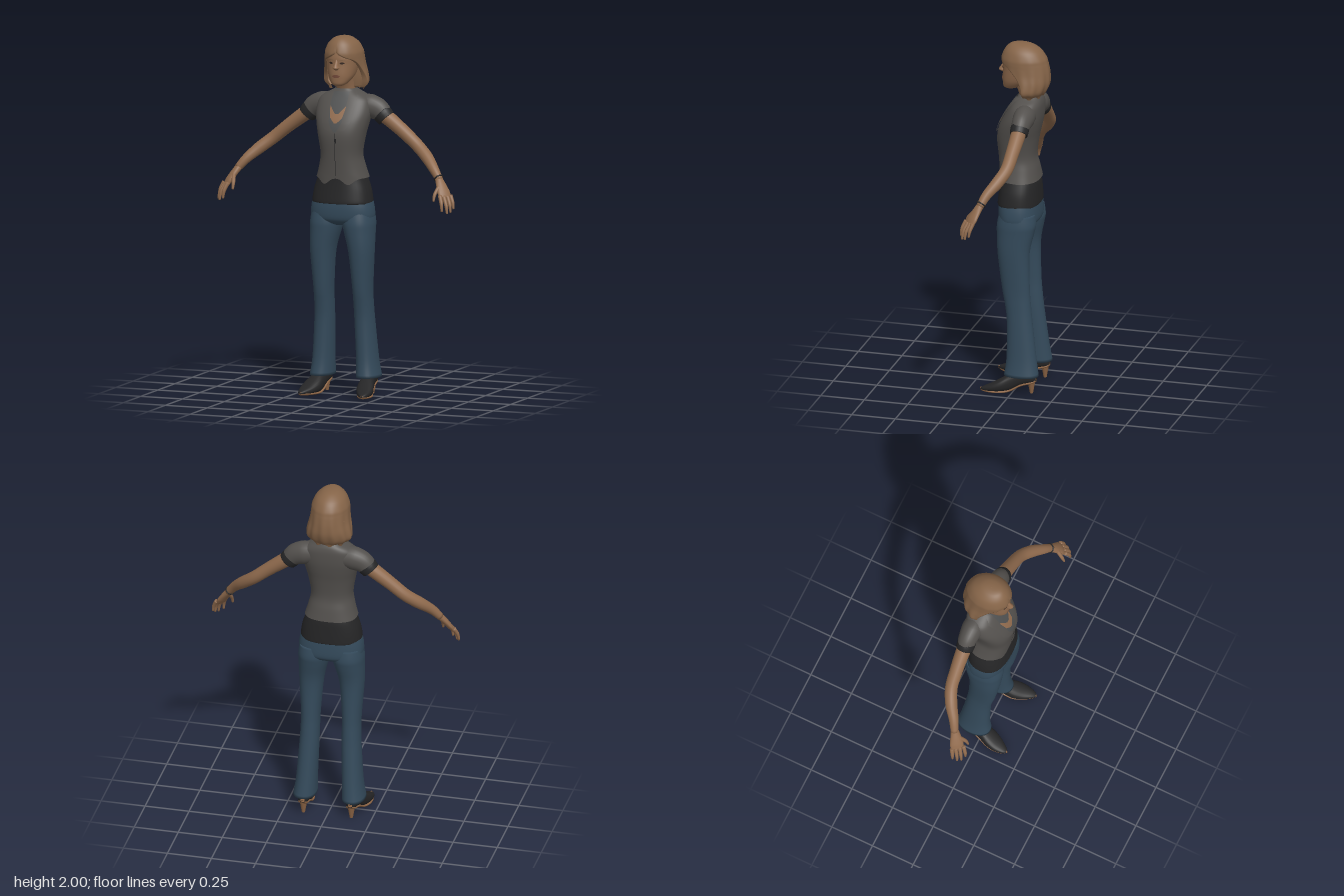
import * as THREE from 'three';

const paint = (name, color) => new THREE.MeshStandardMaterial({ name, color, side: THREE.DoubleSide });
const lerp = THREE.MathUtils.lerp;
const V = (x, y, z) => new THREE.Vector3(x, y, z);

// Smooth grid of rows i and columns j; columns may wrap round
function grid(rows, cols, fn, wrap = true) {
  const pos = [], idx = [], n = wrap ? cols : cols + 1;
  for (let i = 0; i < rows; i++) for (let j = 0; j < n; j++) pos.push(...fn(i, j / cols));
  for (let i = 0; i < rows - 1; i++) for (let j = 0; j < cols; j++) {
    const k = (j + 1) % n, a = i * n + j, b = i * n + k;
    idx.push(a, b, a + n, b, b + n, a + n);
  }
  const g = new THREE.BufferGeometry();
  g.setAttribute('position', new THREE.Float32BufferAttribute(pos, 3));
  g.setIndex(idx);
  g.computeVertexNormals();
  return g;
}

// Catmull-Rom refinement of profile rows, sorted upward by their first value
function dense(rows, sub = 4) {
  const r = [...rows].sort((a, b) => a[0] - b[0]), out = [];
  for (let i = 0; i < r.length - 1; i++) for (let s = 0; s < sub; s++) {
    const t = s / sub, p = r[Math.max(i - 1, 0)], q = r[i], u = r[i + 1], w = r[Math.min(i + 2, r.length - 1)];
    out.push(q.map((_, k) => 0.5 * (2 * q[k] + (u[k] - p[k]) * t + (2 * p[k] - 5 * q[k] + 4 * u[k] - w[k]) * t * t
      + (3 * q[k] - p[k] - 3 * u[k] + w[k]) * t * t * t)));
  }
  out.push(r[r.length - 1]);
  return out;
}

// Horizontal superellipse sections: [y, halfWidth, zFront, zBack, xCentre]
const power = (v, n) => Math.sign(v) * Math.abs(v) ** (2 / n);
function loft(rows, n = 2.2, cap = true, cols = 40) {
  const d = dense(rows);
  if (cap) {
    const shut = r => [r[0], 0.0005, (r[2] + r[3]) / 2, (r[2] + r[3]) / 2, r[4]];
    d.unshift(shut(d[0]));
    d.push(shut(d[d.length - 1]));
  }
  return grid(d.length, cols, (i, f) => {
    const [y, w, zf, zb, cx = 0] = d[i], t = f * Math.PI * 2;
    return [cx + w * power(Math.sin(t), n), y, (zf + zb) / 2 + (zf - zb) / 2 * power(Math.cos(t), n)];
  });
}

// Thin plate lying on the front of a lofted body: rows [y, xStart, xEnd]
function patch(body, n, rows, off) {
  const d = dense(body), sub = 4, r = [...rows].sort((a, b) => a[0] - b[0]);
  return grid((r.length - 1) * sub + 1, 8, (i, f) => {
    const k = Math.min(Math.floor(i / sub), r.length - 2), t = i / sub - k;
    const [y, a, b] = r[k].map((v, m) => lerp(v, r[k + 1][m], t)), x = lerp(a, b, f);
    const h = Math.max(0, d.findIndex(e => e[0] > y) - 1), p = d[h], q = d[h + 1];
    const [, w, zf, zb] = p.map((v, m) => lerp(v, q[m], (y - p[0]) / (q[0] - p[0])));
    const z = (zf + zb) / 2 + (zf - zb) / 2 * Math.max(0, 1 - Math.abs(x / w) ** n) ** (1 / n);
    return [x, y, z + off];
  }, false);
}

// Tapered limb through points; each radius is [along ref, across ref]
function limb(pts, radii, ref = V(0, 0, 1), cols = 16) {
  const curve = new THREE.CatmullRomCurve3(pts.map(p => V(...p))), N = pts.length * 4;
  return grid(N + 3, cols, (i, f) => {
    const t = Math.min(Math.max(i - 1, 0), N) / N, s = t * (pts.length - 1), k = Math.min(Math.floor(s), pts.length - 2);
    const end = i === 0 || i === N + 2 ? 0.01 : 1, T = curve.getTangent(t);
    const u = ref.clone().addScaledVector(T, -ref.dot(T)).normalize(), v = T.clone().cross(u);
    const [ru, rv] = [0, 1].map(m => end * lerp([radii[k]].flat().at(m) ?? radii[k], [radii[k + 1]].flat().at(m) ?? radii[k + 1], s - k));
    const a = f * Math.PI * 2;
    return curve.getPoint(t).addScaledVector(u, ru * Math.cos(a)).addScaledVector(v, rv * Math.sin(a)).toArray();
  });
}

function mirrored(geo) {
  const g = geo.clone().scale(-1, 1, 1), ix = g.index.array;
  for (let i = 0; i < ix.length; i += 3) [ix[i], ix[i + 1]] = [ix[i + 1], ix[i]];
  g.computeVertexNormals();
  return g;
}

export function createModel() {
  const skin = paint('skin', 0x8f6a4d), hair = paint('hair', 0x856448), jacket = paint('jacketGrey', 0x53504d);
  const jeans = paint('denim', 0x344a5b), black = paint('black', 0x252526), shirt = paint('shirtGrey', 0x4e4f4f);
  const lip = paint('lips', 0x744a3a), dark = paint('eyeBrown', 0x33261f), sole = paint('soleTan', 0x8a6344);
  const model = new THREE.Group();
  const add = (name, geo, mat) => {
    const m = new THREE.Mesh(geo, mat);
    m.name = name;
    model.add(m);
  };
  const pair = (name, geo, mat) => {
    add(name + 'Left', geo, mat);
    add(name + 'Right', mirrored(geo), mat);
  };

  // Jacket body with a shaped front hem
  const torso = [[1.215, 0.147, 0.104, -0.119], [1.28, 0.128, 0.108, -0.107], [1.35, 0.116, 0.114, -0.093],
    [1.45, 0.132, 0.122, -0.105], [1.52, 0.148, 0.108, -0.12], [1.58, 0.158, 0.08, -0.13], [1.64, 0.15, 0.045, -0.132],
    [1.67, 0.12, 0.024, -0.128], [1.69, 0.08, 0.01, -0.12], [1.705, 0.056, 0.002, -0.11]];
  const body = loft(torso, 2.4, false, 64), bp = body.attributes.position;
  for (let j = 0; j < 64; j++) if (bp.getZ(j) > 0)
    bp.setY(j, 1.217 - 0.035 * Math.exp(-(((Math.abs(bp.getX(j)) - 0.07) / 0.035) ** 2)));
  body.computeVertexNormals();
  add('jacketBody', body, jacket);
  const chest = (name, rows, mat, off) => add(name, patch(torso, 2.4, rows, off), mat);
  chest('shirtFront', [[1.475, -0.004, 0.004], [1.51, -0.035, 0.035], [1.56, -0.048, 0.048], [1.62, -0.05, 0.05], [1.69, -0.05, 0.05]], shirt, 0.003);
  chest('necklineSkin', [[1.525, -0.008, 0.008], [1.555, -0.036, 0.036], [1.615, -0.048, 0.048]], skin, 0.005);
  chest('shirtCollar', [[1.575, -0.01, 0.01], [1.6, -0.032, 0.032], [1.625, -0.05, 0.05], [1.69, -0.05, 0.05]], shirt, 0.007);
  chest('frontSeam', [[1.23, -0.001, 0.002], [1.47, -0.001, 0.002]], black, 0.002);
  chest('button', [[1.415, 0.004, 0.011], [1.44, 0.004, 0.011]], black, 0.004);
  pair('lapel', patch(torso, 2.4, [[1.47, 0.003, 0.012], [1.49, 0.018, 0.06], [1.53, 0.038, 0.083], [1.6, 0.047, 0.088],
    [1.66, 0.048, 0.1], [1.695, 0.046, 0.068]], 0.009), jacket);

  // Short sleeves, cuffs, arms
  pair('sleeve', limb([[0.07, 1.612, -0.06], [0.14, 1.606, -0.062], [0.19, 1.588, -0.062], [0.228, 1.553, -0.06]],
    [[0.058, 0.06], [0.06, 0.068], [0.053, 0.062], [0.047, 0.051]], undefined, 24), jacket);
  pair('sleeveCuff', limb([[0.208, 1.572, -0.06], [0.222, 1.558, -0.06], [0.236, 1.542, -0.06]],
    [[0.051, 0.056], [0.051, 0.055], [0.049, 0.052]], undefined, 24), black);
  pair('arm', limb([[0.19, 1.585, -0.06], [0.26, 1.536, -0.06], [0.35, 1.468, -0.055], [0.43, 1.402, -0.046], [0.5, 1.345, -0.012],
    [0.56, 1.287, 0.033], [0.602, 1.235, 0.058]], [0.043, 0.041, 0.037, 0.035, 0.034, 0.027, 0.021], undefined, 20), skin);

  // Hands
  const across = V(0.63, 0, -0.77);
  pair('palm', limb([[0.595, 1.243, 0.055], [0.62, 1.205, 0.075], [0.64, 1.172, 0.09], [0.655, 1.143, 0.102]],
    [[0.021, 0.02], [0.032, 0.018], [0.039, 0.016], [0.036, 0.012]], across), skin);
  const fingers = {
    thumb: [[0.612, 1.205, 0.09], [0.6, 1.165, 0.125], [0.598, 1.128, 0.14]],
    indexFinger: [[0.632, 1.16, 0.127], [0.648, 1.115, 0.146], [0.652, 1.075, 0.15]],
    middleFinger: [[0.647, 1.155, 0.111], [0.67, 1.108, 0.131], [0.678, 1.063, 0.137]],
    ringFinger: [[0.662, 1.155, 0.093], [0.684, 1.11, 0.113], [0.692, 1.068, 0.118]],
    littleFinger: [[0.674, 1.158, 0.077], [0.692, 1.12, 0.089], [0.699, 1.085, 0.094]],
  };
  for (const [name, pts] of Object.entries(fingers)) pair(name, limb(pts, [0.012, 0.01, 0.006], across, 10), skin);
  add('bracelet', new THREE.TorusGeometry(0.024, 0.004, 8, 24).applyQuaternion(
    new THREE.Quaternion().setFromUnitVectors(V(0, 0, 1), V(0.6, -0.72, 0.36).normalize())).translate(0.592, 1.248, 0.053), black);

  // Undershirt, hips and flared trouser legs
  add('undershirt', loft([[1.075, 0.17, 0.113, -0.12], [1.09, 0.171, 0.113, -0.12], [1.15, 0.161, 0.105, -0.117],
    [1.21, 0.141, 0.098, -0.112], [1.26, 0.122, 0.095, -0.098]], 2.4), black);
  add('hips', loft([[0.95, 0.1, 0.05, -0.08], [0.965, 0.15, 0.083, -0.105], [0.99, 0.179, 0.103, -0.119],
    [1.05, 0.178, 0.107, -0.118], [1.11, 0.164, 0.1, -0.112]], 2.5), jeans);
  pair('trouserLeg', loft([[0.1, 0.065, 0.05, -0.145, 0.138], [0.2, 0.058, 0.038, -0.13, 0.13], [0.4, 0.054, 0.039, -0.105, 0.12],
    [0.5, 0.052, 0.05, -0.095, 0.117], [0.6, 0.053, 0.068, -0.088, 0.116], [0.8, 0.068, 0.093, -0.085, 0.114],
    [0.92, 0.084, 0.101, -0.108, 0.1], [0.97, 0.089, 0.101, -0.117, 0.095], [1.03, 0.086, 0.09, -0.11, 0.09]], 2.2), jeans);

  // Pointed heeled shoes: [z, xCentre, halfWidth, yBottom, yTop]
  const foot = dense([[-0.132, 0.135, 0.012, 0.075, 0.105], [-0.115, 0.136, 0.03, 0.064, 0.12], [-0.05, 0.14, 0.036, 0.045, 0.125],
    [0.01, 0.148, 0.042, 0.012, 0.108], [0.06, 0.158, 0.05, 0.005, 0.08], [0.11, 0.17, 0.042, 0.005, 0.052],
    [0.155, 0.18, 0.022, 0.008, 0.032], [0.175, 0.183, 0.003, 0.014, 0.02]]);
  const shoe = (wide, yRange) => grid(foot.length, 24, (i, f) => {
    const [z, x, w, b, t] = foot[i], a = f * Math.PI * 2, [lo, hi] = yRange(b, t);
    return [x + w * wide * power(Math.cos(a), 2.5), (lo + hi) / 2 + (hi - lo) / 2 * power(Math.sin(a), 2.5), z];
  });
  pair('shoe', shoe(1, (b, t) => [b, t]), black);
  pair('shoeSole', shoe(0.93, b => [b - 0.005, b + 0.012]), sole);
  pair('shoeHeel', new THREE.CylinderGeometry(0.022, 0.009, 0.072, 14).translate(0.136, 0.036, -0.105), sole);

  // Neck and head
  add('neck', loft([[1.62, 0.06, -0.005, -0.11], [1.7, 0.05, 0.0, -0.1], [1.79, 0.05, 0.04, -0.09]]), skin);
  const head = [[1.73, 0.022, 0.082, 0.03], [1.742, 0.044, 0.093, 0], [1.77, 0.064, 0.096, -0.05], [1.8, 0.075, 0.097, -0.09],
    [1.85, 0.083, 0.093, -0.11], [1.89, 0.085, 0.093, -0.12], [1.94, 0.078, 0.078, -0.12], [1.975, 0.05, 0.04, -0.09]];
  add('head', loft(head, 2.2), skin);
  add('nose', loft([[1.82, 0.009, 0.103, 0.07], [1.831, 0.018, 0.121, 0.07], [1.845, 0.013, 0.115, 0.07],
    [1.87, 0.009, 0.098, 0.07], [1.89, 0.007, 0.09, 0.07]], 2, true, 20), skin);
  const face = (rows, off) => patch(head, 2.2, rows, off);
  pair('eye', face([[1.852, 0.03, 0.034], [1.858, 0.019, 0.046], [1.864, 0.026, 0.039]], 0.003), dark);
  pair('eyebrow', face([[1.874, 0.016, 0.05], [1.879, 0.018, 0.048]], 0.003), hair);
  add('lips', face([[1.778, -0.012, 0.012], [1.786, -0.026, 0.026], [1.794, -0.01, 0.01]], 0.004), lip);

  // Bobbed hair shell, open round the face: [y, halfWidth, zFront, zBack, opening in degrees]
  const locks = dense([[1.705, 0.1, 0.04, -0.135, 88], [1.735, 0.128, 0.055, -0.155, 83], [1.78, 0.124, 0.07, -0.17, 78],
    [1.83, 0.113, 0.09, -0.17, 68], [1.87, 0.108, 0.1, -0.164, 50], [1.895, 0.106, 0.104, -0.158, 18], [1.92, 0.102, 0.101, -0.15, 0],
    [1.96, 0.083, 0.084, -0.122, 0], [1.988, 0.052, 0.058, -0.08, 0], [1.998, 0.024, 0.03, -0.045, 0], [2, 0.001, -0.008, -0.012, 0]]);
  add('hair', grid(locks.length, 72, (i, f) => {
    const [y, w, zf, zb, open] = locks[i], low = Math.min(1, Math.max(0, (1.95 - y) / 0.2));
    const edge = Math.max(0, open) * Math.PI / 180, t = edge + f * 2 * (Math.PI - edge);
    const rim = f < 0.01 || f > 0.99 ? 1 - 0.2 * low : 1, k = rim * (1 + 0.025 * low * Math.sin(t * 13));
    return [w * k * Math.sin(t), y + (i === 0 ? 0.01 * Math.sin(t * 9) : 0), (zf + zb) / 2 + (zf - zb) / 2 * k * Math.cos(t)];
  }, false), hair);
  add('hairUnderside', loft([[1.71, 0.085, -0.04, -0.125], [1.76, 0.1, -0.03, -0.15], [1.85, 0.098, -0.02, -0.15]], 2), hair);
  return model;
}
